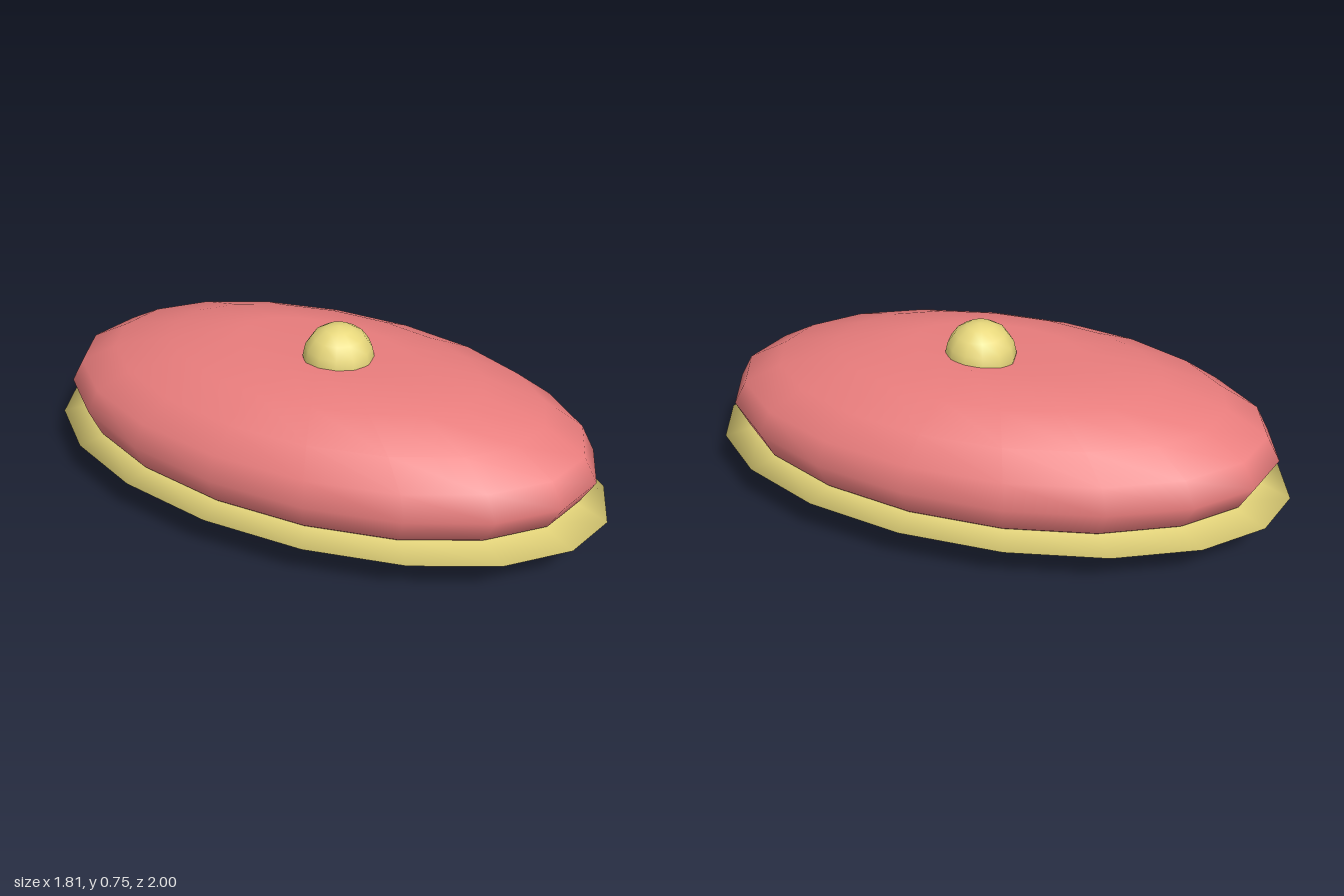
import * as THREE from 'three';
import { mergeVertices } from 'three/addons/utils/BufferGeometryUtils.js';

const PINK = 0xe87c7c;
const CREAM = 0xe8d87c;

// Smooth ellipsoid with welded vertices; the top pole can be pushed down into a dimple.
function ellipsoid(name, color, [rx, ry, rz], y, [columns, rows], dimple = 0) {
  let geometry = new THREE.SphereGeometry(1, columns, rows);
  geometry.deleteAttribute('uv');
  geometry.deleteAttribute('normal');
  geometry = mergeVertices(geometry, 1e-4);
  const p = geometry.attributes.position;
  for (let i = 0; i < p.count; i++) {
    const drop = p.getY(i) > 0.999 ? dimple : 0;
    p.setXYZ(i, p.getX(i) * rx, p.getY(i) * ry - drop, p.getZ(i) * rz);
  }
  geometry.computeVertexNormals();
  const mesh = new THREE.Mesh(geometry, new THREE.MeshStandardMaterial({ color }));
  mesh.name = name;
  mesh.position.y = y;
  return mesh;
}

export function createModel() {
  const model = new THREE.Group();
  model.name = 'ovalCushion';

  // Oval body and rim share one diagonal long axis
  const oval = new THREE.Group();
  oval.name = 'oval';
  oval.rotation.y = THREE.MathUtils.degToRad(-50);
  oval.add(
    ellipsoid('cushion', PINK, [1.131, 0.333, 0.611], 0.333, [18, 10], 0.075),
    ellipsoid('rim', CREAM, [1.192, 0.128, 0.644], 0.167, [18, 6]),
  );
  model.add(oval);

  // Round button resting in the dimple
  const button = ellipsoid('button', CREAM, [0.142, 0.138, 0.142], 0.617, [12, 8]);
  button.position.x = 0.045;
  button.position.z = 0.05;
  model.add(button);

  return model;
}
